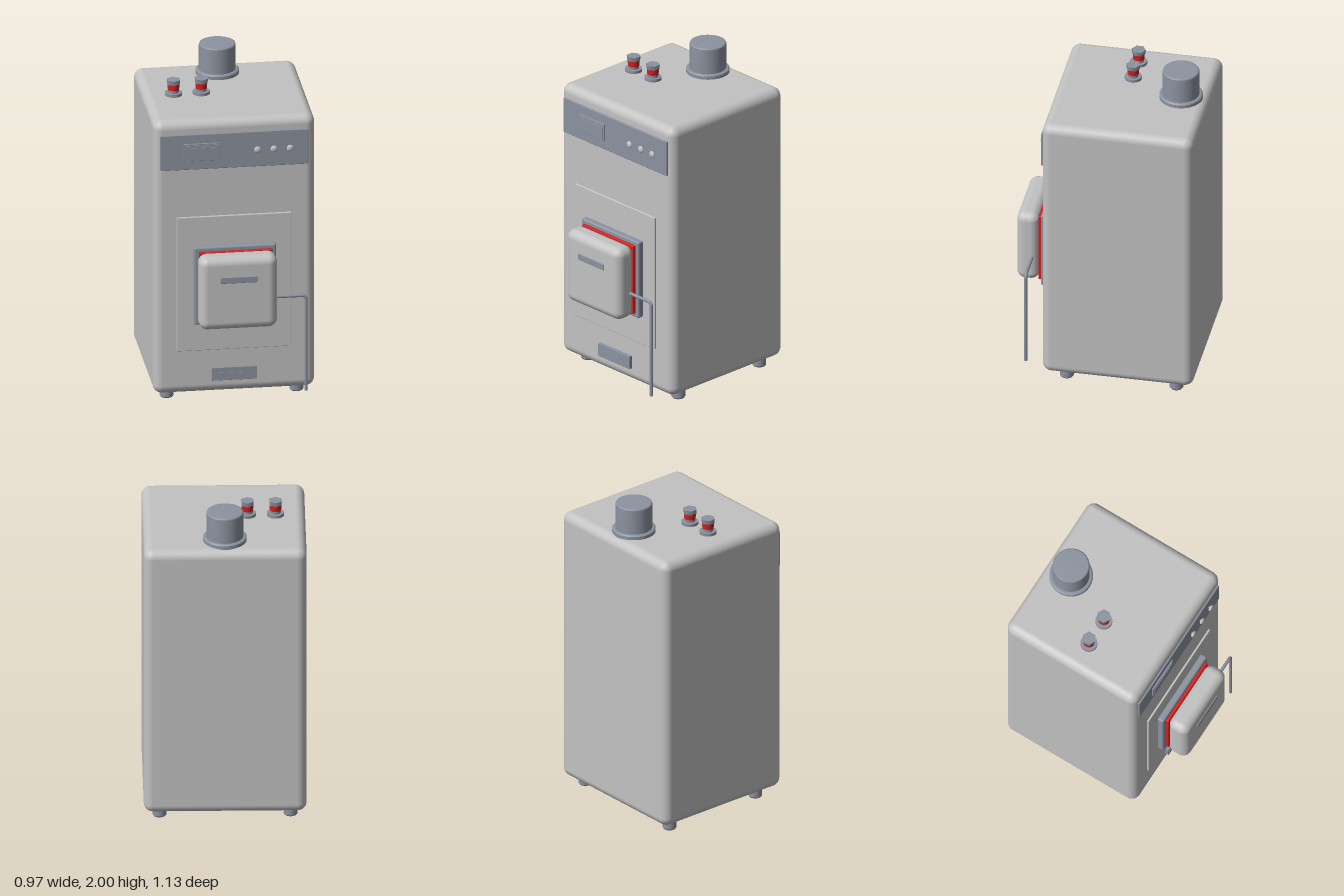
import * as THREE from 'three';
import { RoundedBoxGeometry } from 'three/addons/geometries/RoundedBoxGeometry.js';

const mat = (name, color) => new THREE.MeshStandardMaterial({ name, color });

export function createModel() {
  const group = new THREE.Group();
  group.name = 'boiler';
  const casing = mat('casing grey', 0xc2c2c2);
  const metal = mat('blue grey metal', 0x8c93a0);
  const red = mat('red', 0xd42020);

  const add = (name, geometry, material, x = 0, y = 0, z = 0, parent = group) => {
    const mesh = new THREE.Mesh(geometry, material);
    mesh.name = name;
    mesh.position.set(x, y, z);
    parent.add(mesh);
    return mesh;
  };
  // box from its limits; a radius rounds its edges
  const box = (name, material, [x0, x1], [y0, y1], [z0, z1], radius = 0) => {
    const size = [x1 - x0, y1 - y0, z1 - z0];
    const geometry = radius
      ? new RoundedBoxGeometry(...size, 5, radius)
      : new THREE.BoxGeometry(...size);
    return add(name, geometry, material, (x0 + x1) / 2, (y0 + y1) / 2, (z0 + z1) / 2);
  };
  // upright cylinder from its bottom to its top
  const cylinder = (name, material, rTop, rBottom, y0, y1, sides, x, z, parent) =>
    add(name, new THREE.CylinderGeometry(rTop, rBottom, y1 - y0, sides), material, x, (y0 + y1) / 2, z, parent);

  // cabinet and feet
  box('cabinet', casing, [-0.485, 0.485], [0.06, 1.81], [-0.565, 0.352], 0.055);
  for (const x of [-0.39, 0.39]) {
    for (const z of [-0.45, 0.215]) {
      cylinder('foot', metal, 0.042, 0.036, 0, 0.008, 24, x, z);
      cylinder('foot', metal, 0.042, 0.042, 0.008, 0.075, 24, x, z);
    }
  }

  // control panel with framed display and knobs
  box('controlPanel', metal, [-0.447, 0.442], [1.503, 1.727], [0.34, 0.362], 0.004);
  box('displayFrame', metal, [-0.307, -0.087], [1.56, 1.67], [0.36, 0.37], 0.002);
  box('displayScreen', metal, [-0.297, -0.097], [1.572, 1.645], [0.368, 0.374]);
  box('displayBar', metal, [-0.297, -0.097], [1.65, 1.66], [0.368, 0.374]);
  for (const x of [0.136, 0.234, 0.331]) {
    const knob = add('knob', new THREE.SphereGeometry(0.021, 24, 16), casing, x, 1.615, 0.375);
    knob.scale.z = 0.5;
    const stem = add('knobStem', new THREE.CylinderGeometry(0.01, 0.01, 0.016, 16), metal, x, 1.615, 0.366);
    stem.rotation.x = Math.PI / 2;
  }

  // access door and burner
  box('accessDoor', casing, [-0.348, 0.342], [0.34, 1.198], [0.34, 0.364], 0.004);
  box('burnerFlange', metal, [-0.25, 0.244], [0.52, 1.017], [0.36, 0.404], 0.012);
  box('burnerSeal', red, [-0.221, 0.219], [0.545, 0.992], [0.402, 0.424], 0.006);
  box('burnerCover', casing, [-0.236, 0.233], [0.535, 1.0], [0.42, 0.556], 0.052);
  box('burnerPlate', metal, [-0.114, 0.109], [0.84, 0.88], [0.553, 0.562], 0.004);

  // fuel pipe bending downward beside the burner
  const pipe = new THREE.CurvePath();
  const v = (x, y) => new THREE.Vector3(x, y, 0.46);
  pipe.add(new THREE.LineCurve3(v(0.22, 0.7), v(0.385, 0.7)));
  pipe.add(new THREE.QuadraticBezierCurve3(v(0.385, 0.7), v(0.414, 0.7), v(0.414, 0.67)));
  pipe.add(new THREE.LineCurve3(v(0.414, 0.67), v(0.414, 0.09)));
  add('fuelPipe', new THREE.TubeGeometry(pipe, 90, 0.01, 12), metal);
  const pipeEnd = add('fuelPipeEnd', new THREE.CircleGeometry(0.01, 12), metal, 0.414, 0.09, 0.46);
  pipeEnd.rotation.x = Math.PI / 2;

  // lower plate with a raised stripe
  box('lowerPlate', metal, [-0.14, 0.133], [0.144, 0.226], [0.35, 0.372], 0.002);
  box('lowerPlateStripe', metal, [-0.13, 0.07], [0.186, 0.194], [0.37, 0.375]);

  // flue outlet
  cylinder('flueCollar', metal, 0.13, 0.13, 1.805, 1.83, 48, 0, -0.4);
  cylinder('flueCollarBevel', metal, 0.122, 0.13, 1.83, 1.837, 48, 0, -0.4);
  const flueProfile = [[0.11, 1.81], [0.11, 1.99], [0.107, 1.997], [0.1, 2], [0, 2]];
  add('fluePipe', new THREE.LatheGeometry(flueProfile.map(p => new THREE.Vector2(...p)), 48), metal, 0, 0, -0.4);

  // water connections with red bands and hexagonal caps
  for (const x of [-0.307, -0.14]) {
    const valve = new THREE.Group();
    valve.name = 'waterConnection';
    valve.position.set(x, 0, -0.082);
    group.add(valve);
    cylinder('connectionBase', metal, 0.051, 0.051, 1.805, 1.828, 32, 0, 0, valve);
    cylinder('connectionStem', metal, 0.032, 0.032, 1.828, 1.85, 24, 0, 0, valve);
    cylinder('connectionBand', red, 0.036, 0.034, 1.845, 1.882, 24, 0, 0, valve);
    cylinder('connectionCap', metal, 0.043, 0.04, 1.88, 1.908, 6, 0, 0, valve);
  }
  return group;
}
